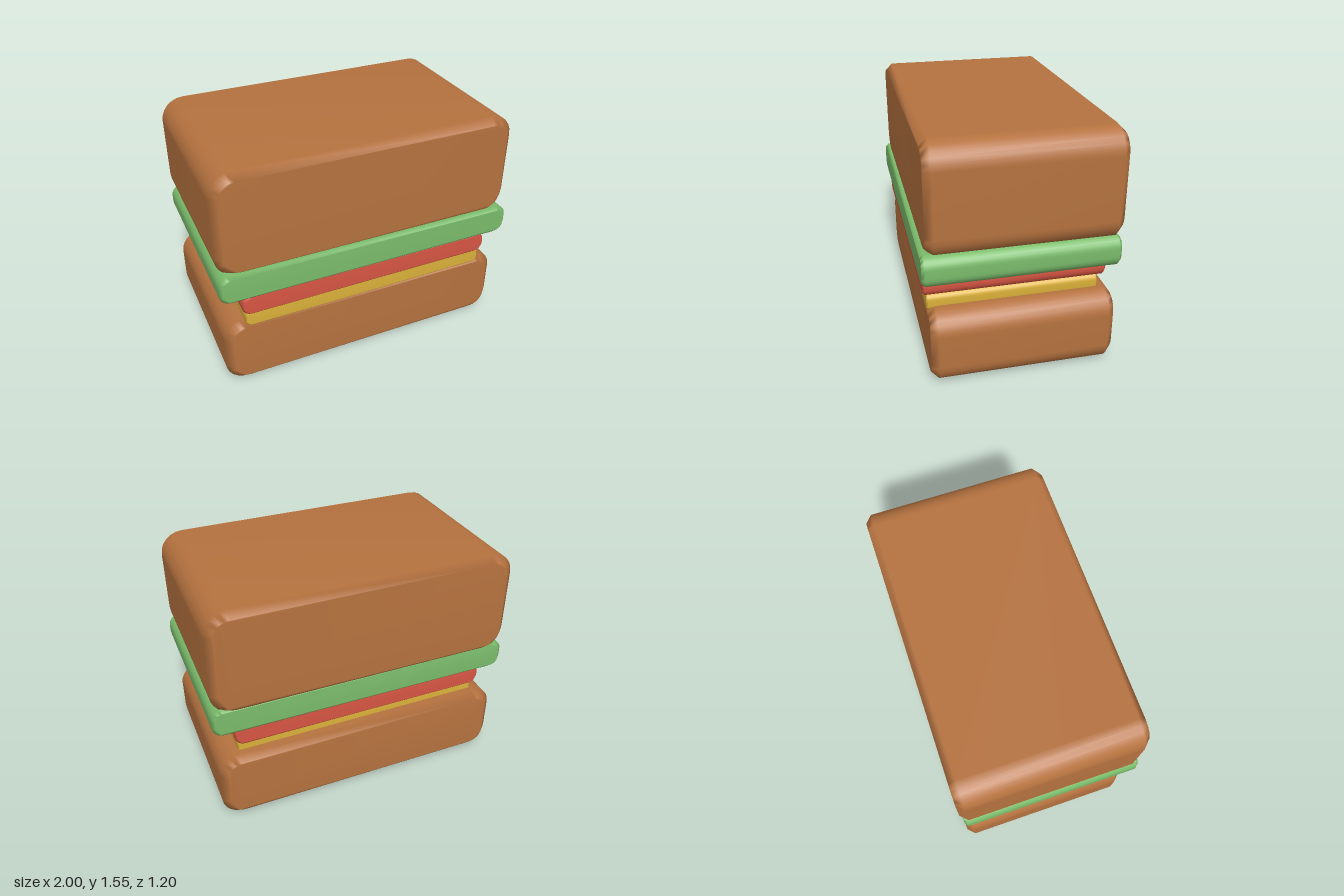
import * as THREE from 'three';
import { mergeVertices } from 'three/addons/utils/BufferGeometryUtils.js';

const material = (name, color) => new THREE.MeshStandardMaterial({ name, color });

// Block with rounded corners seen from the front and a chamfer at the front and back
function slab([x0, x1], [y0, y1], [z0, z1], radius, chamfer) {
  const s = new THREE.Shape();
  const h = Math.PI / 2;
  s.absarc(x1 - radius, y0 + radius, radius, -h, 0);
  s.absarc(x1 - radius, y1 - radius, radius, 0, h);
  s.absarc(x0 + radius, y1 - radius, radius, h, 2 * h);
  s.absarc(x0 + radius, y0 + radius, radius, 2 * h, 3 * h);
  s.closePath();
  const raw = new THREE.ExtrudeGeometry(s, {
    depth: z1 - z0 - 2 * chamfer, curveSegments: 3,
    bevelEnabled: true, bevelSegments: 1,
    bevelThickness: chamfer, bevelSize: chamfer, bevelOffset: -chamfer,
  });
  raw.translate(0, 0, z0 + chamfer);
  raw.deleteAttribute('normal');
  raw.deleteAttribute('uv');
  // Shared corners give area-weighted smooth normals: flat faces, soft edges
  const geometry = mergeVertices(raw, 1e-4);
  geometry.clearGroups();
  geometry.computeVertexNormals();
  return geometry;
}

export function createModel() {
  const group = new THREE.Group();
  group.name = 'sandwich';
  const bread = material('bread brown', 0xb5723f);
  const green = material('lettuce green', 0x7abb6b);
  const red = material('tomato red', 0xd65543);
  const yellow = material('cheese yellow', 0xd9b039);

  // Layers from bottom to top: name, material, x, y and z ranges, radius, chamfer
  const layers = [
    ['bottomBread', bread, [-0.985, 0.98], [0, 0.49], [-0.585, 0.56], 0.14, 0.045],
    ['cheese', yellow, [-0.845, 0.84], [0.455, 0.57], [-0.505, 0.565], 0.04, 0.01],
    ['tomato', red, [-0.865, 0.86], [0.56, 0.705], [-0.545, 0.585], 0.065, 0.012],
    ['lettuce', green, [-1, 1], [0.695, 0.895], [-0.585, 0.605], 0.075, 0.02],
    ['topBread', bread, [-0.995, 0.99], [0.85, 1.55], [-0.6, 0.575], 0.15, 0.045],
  ];
  for (const [name, mat, x, y, z, radius, chamfer] of layers) {
    const mesh = new THREE.Mesh(slab(x, y, z, radius, chamfer), mat);
    mesh.name = name;
    group.add(mesh);
  }
  return group;
}
